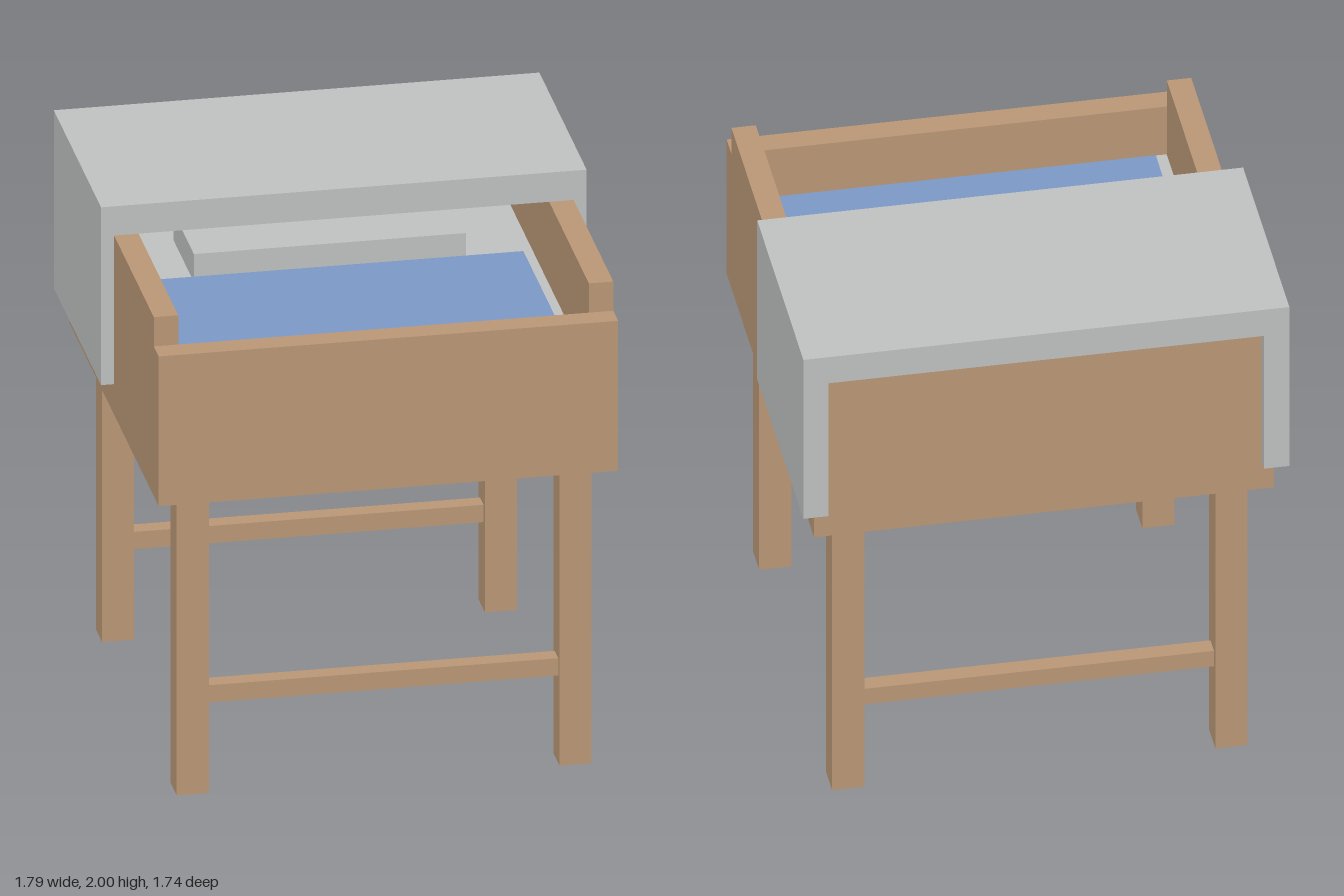
import * as THREE from 'three';

const material = (name, color) => {
  const m = new THREE.MeshStandardMaterial({ color });
  m.name = name;
  return m;
};

export function createModel() {
  const wood = material('wood', 0xb99675);
  const grey = material('light grey', 0xbec1bf);
  const blue = material('blue', 0x7c98c6);
  const model = new THREE.Group();
  model.name = 'bassinet';

  // Box given by its limits on each axis
  const box = (name, mat, [x0, x1], [y0, y1], [z0, z1]) => {
    const mesh = new THREE.Mesh(new THREE.BoxGeometry(x1 - x0, y1 - y0, z1 - z0), mat);
    mesh.position.set((x0 + x1) / 2, (y0 + y1) / 2, (z0 + z1) / 2);
    mesh.name = name;
    model.add(mesh);
  };

  // Legs, and a rail between each front and back pair
  for (const [end, z] of [['front', 0.73], ['back', -0.683]]) {
    box(end + 'LeftLeg', wood, [0.645, 0.763], [0, 1.18], [z - 0.059, z + 0.059]);
    box(end + 'RightLeg', wood, [-0.763, -0.645], [0, 1.18], [z - 0.059, z + 0.059]);
    box(end + 'Rail', wood, [-0.645, 0.645], [0.345, 0.413], [z - 0.034, z + 0.034]);
  }

  // Open wooden crib with a lower front panel
  box('frontPanel', wood, [-0.845, 0.845], [1.18, 1.77], [0.777, 0.87]);
  box('leftPanel', wood, [0.755, 0.845], [1.18, 1.885], [-0.823, 0.777]);
  box('rightPanel', wood, [-0.845, -0.755], [1.18, 1.885], [-0.823, 0.777]);
  box('backPanel', wood, [-0.755, 0.755], [1.18, 1.885], [-0.823, -0.733]);
  box('floor', wood, [-0.755, 0.755], [1.18, 1.27], [-0.733, 0.777]);

  // Bedding
  box('mattress', grey, [-0.755, 0.755], [1.27, 1.56], [-0.733, 0.777]);
  box('blanket', blue, [-0.705, 0.705], [1.56, 1.597], [-0.205, 0.727]);
  box('pillow', grey, [-0.5, 0.5], [1.56, 1.67], [-0.63, -0.24]);

  // Arched canopy: a square U profile swept along z
  const profile = new THREE.Shape([
    [-0.893, 1.3], [-0.8, 1.3], [-0.8, 1.885], [0.8, 1.885],
    [0.8, 1.3], [0.893, 1.3], [0.893, 2], [-0.893, 2],
  ].map(([x, y]) => new THREE.Vector2(x, y)));
  const canopy = new THREE.Mesh(
    new THREE.ExtrudeGeometry(profile, { depth: 0.895, bevelEnabled: false }), grey);
  canopy.position.z = -0.87;
  canopy.name = 'canopy';
  model.add(canopy);

  return model;
}
